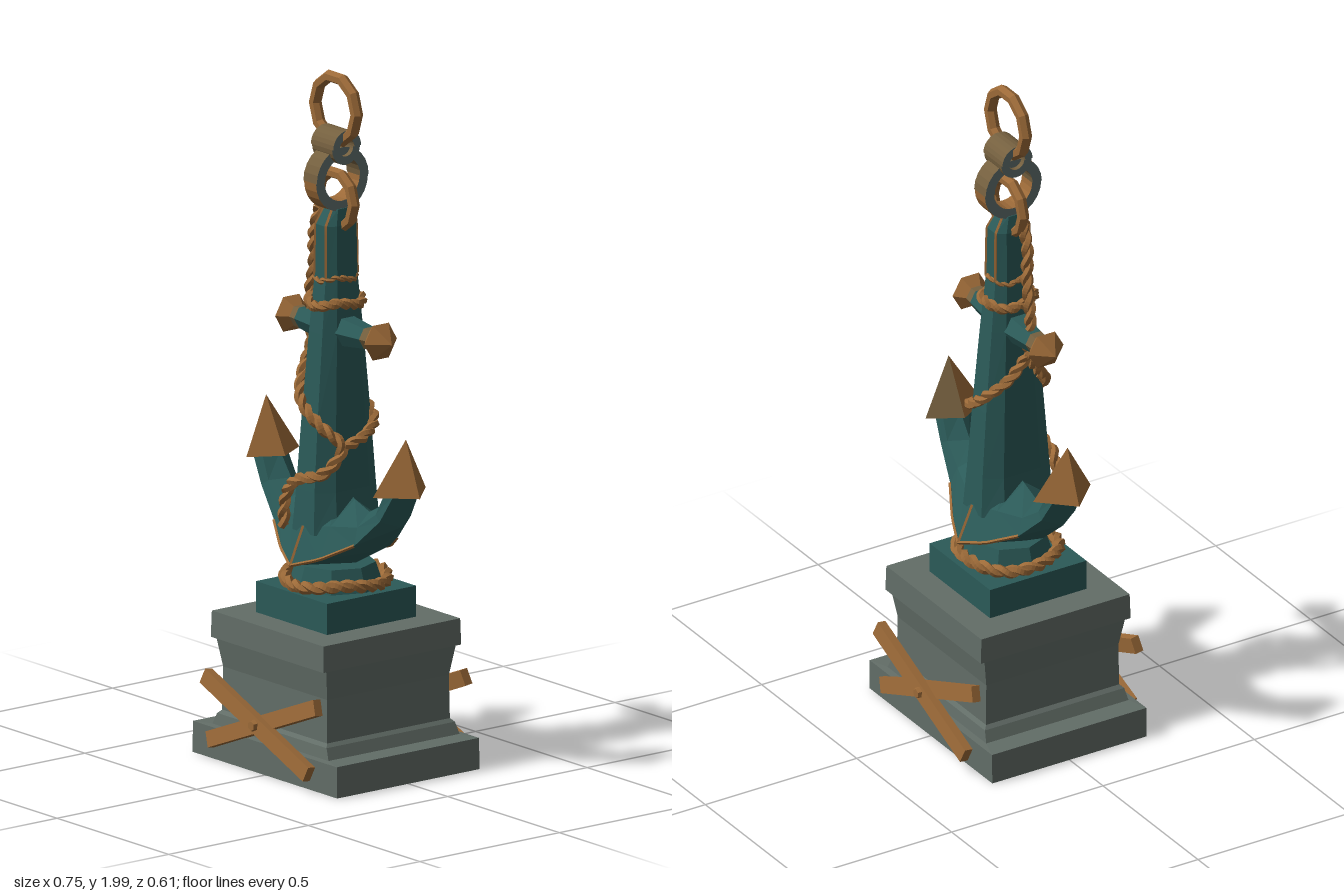
import * as THREE from 'three';

const mat = (name, color) => Object.assign(new THREE.MeshStandardMaterial({ color }), { name });
const V = (x, y, z) => new THREE.Vector3(x, y, z);

export function createModel() {
  const root = new THREE.Group();
  root.name = 'anchorMonument';
  const stone = mat('stone', 0x626d67);
  const teal = mat('tealPaint', 0x2b5a58);
  const rust = mat('rust', 0x9c6a38);
  const worn = mat('wornMetal', 0x75603f);
  const steel = mat('greySteel', 0x62716e);

  // Adds a faceted mesh
  function add(name, geo, material, parent = root) {
    const g = geo.index ? geo.toNonIndexed() : geo;
    g.computeVertexNormals();
    const m = new THREE.Mesh(g, material);
    m.name = name;
    parent.add(m);
    return m;
  }

  // Skins a list of equal-length rings and caps both ends
  function loft(rings) {
    const p = [];
    const tri = (...vs) => vs.forEach(v => p.push(v.x, v.y, v.z));
    const n = rings[0].length;
    for (let i = 0; i < rings.length - 1; i++) {
      for (let j = 0; j < n; j++) {
        const k = (j + 1) % n;
        const [a, b, c, d] = [rings[i][j], rings[i][k], rings[i + 1][k], rings[i + 1][j]];
        tri(a, d, b);
        tri(b, d, c);
      }
    }
    const first = rings[0], last = rings[rings.length - 1];
    for (let j = 1; j < n - 1; j++) {
      tri(first[0], first[j], first[j + 1]);
      tri(last[0], last[j + 1], last[j]);
    }
    const g = new THREE.BufferGeometry();
    g.setAttribute('position', new THREE.Float32BufferAttribute(p, 3));
    return g;
  }

  // Two strands twisted around a curve
  function rope(name, curve, radius, turns, closed = false) {
    const group = new THREE.Group();
    group.name = name;
    root.add(group);
    const n = Math.round(turns * 6);
    const f = curve.computeFrenetFrames(n, closed);
    for (const phase of [0, Math.PI]) {
      const pts = [];
      for (let i = 0; i < (closed ? n : n + 1); i++) {
        const a = phase + (i / n) * turns * Math.PI * 2;
        pts.push(curve.getPointAt(i / n)
          .addScaledVector(f.normals[i], Math.cos(a) * radius * 0.45)
          .addScaledVector(f.binormals[i], Math.sin(a) * radius * 0.45));
      }
      const path = new THREE.CatmullRomCurve3(pts, closed);
      add(name + 'Strand', new THREE.TubeGeometry(path, n * 2, radius * 0.68, 5, closed), rust, group);
    }
  }
  function loop(y, rx, rz) {
    const pts = [];
    for (let i = 0; i < 12; i++) {
      const a = i / 12 * Math.PI * 2;
      pts.push(V(Math.cos(a) * rx, y + 0.006 * Math.sin(a * 3), Math.sin(a) * rz));
    }
    return new THREE.CatmullRomCurve3(pts, true);
  }

  // Thin rusty line where paint has worn off an edge
  function wornEdge(...pts) {
    const path = new THREE.CurvePath();
    for (let i = 0; i < pts.length - 1; i++) path.add(new THREE.LineCurve3(pts[i], pts[i + 1]));
    add('wornEdge', new THREE.TubeGeometry(path, 4 * (pts.length - 1), 0.005, 4), rust);
  }

  // Stone pedestal: [height, half width, half depth]
  const pedestal = [
    [0, 0.324, 0.255], [0.09, 0.322, 0.255], [0.092, 0.26, 0.235], [0.125, 0.245, 0.23],
    [0.135, 0.235, 0.22], [0.26, 0.233, 0.218], [0.345, 0.246, 0.232], [0.347, 0.252, 0.247], [0.423, 0.25, 0.245],
  ];
  add('pedestal', loft(pedestal.map(([y, x, z]) => [V(x, y, z), V(-x, y, z), V(-x, y, -z), V(x, y, -z)])), stone);

  // Crossed planks, leaning on front and back
  for (const s of [1, -1]) {
    const cross = new THREE.Group();
    cross.name = s > 0 ? 'frontPlanks' : 'backPlanks';
    cross.rotation.y = s > 0 ? 0 : Math.PI;
    root.add(cross);
    [[0.38, 0.258], [-0.38, 0.282]].forEach(([angle, z], i) => {
      const plank = add('plank', new THREE.BoxGeometry(0.505, 0.046, 0.026), rust, cross);
      plank.rotation.set(-0.13, i ? 0.04 : -0.03, angle);
      plank.position.set(0, 0.15, z);
    });
    const nail = add('nail', new THREE.CylinderGeometry(0.014, 0.018, 0.012, 6), rust, cross);
    nail.rotation.x = Math.PI / 2;
    nail.position.set(0, 0.15, 0.299);
  }

  // Footing under the anchor
  add('footing', new THREE.BoxGeometry(0.318, 0.092, 0.318), teal).position.y = 0.467;
  add('footCollar', new THREE.CylinderGeometry(0.112, 0.135, 0.07, 8), teal).position.y = 0.545;
  rope('footRope', loop(0.535, 0.143, 0.143), 0.018, 11, true);

  // Crown and arms: bottom, ridge, flank and top of each section, mirrored
  const half = [
    [[0, 0.572], [0, 0.592, 0.165], [0, 0.7, 0.118], [0, 0.82]],
    [[0.09, 0.592], [0.085, 0.62, 0.13], [0.085, 0.71, 0.088], [0.085, 0.775]],
    [[0.185, 0.645], [0.18, 0.672, 0.078], [0.17, 0.72, 0.06], [0.15, 0.752]],
    [[0.29, 0.735], [0.265, 0.755, 0.056], [0.24, 0.77, 0.05], [0.2, 0.778]],
    [[0.346, 0.84], [0.32, 0.845, 0.046], [0.28, 0.85, 0.044], [0.25, 0.845]],
  ];
  const section = (s, [b, r, m, t]) => [
    V(s * b[0], b[1], 0), V(s * r[0], r[1], r[2]), V(s * m[0], m[1], m[2]),
    V(s * t[0], t[1], 0), V(s * m[0], m[1], -m[2]), V(s * r[0], r[1], -r[2]),
  ];
  add('crownAndArms', loft([
    ...half.slice(1).reverse().map(h => section(-1, h)),
    ...half.map(h => section(1, h)),
  ]), teal);

  // Shank: chamfered box sections [height, half width, half depth]
  const shank = [
    [0.68, 0.088, 0.118], [0.8, 0.075, 0.11], [1.0, 0.066, 0.095], [1.25, 0.055, 0.073],
    [1.4, 0.046, 0.058], [1.56, 0.042, 0.056], [1.605, 0.03, 0.03],
  ];
  add('shank', loft(shank.map(([y, x, z]) => {
    const c = 0.55;
    return [V(x, y, z * c), V(x * c, y, z), V(-x * c, y, z), V(-x, y, z * c),
      V(-x, y, -z * c), V(-x * c, y, -z), V(x * c, y, -z), V(x, y, -z * c)];
  })), teal);

  // Worn edges on the crown and neck
  for (const s of [1, -1]) {
    wornEdge(V(-0.18, 0.672, 0.078 * s), V(-0.085, 0.62, 0.13 * s), V(0, 0.592, 0.165 * s),
      V(0.085, 0.62, 0.13 * s), V(0.18, 0.672, 0.078 * s));
    wornEdge(V(0, 0.592, 0.165 * s), V(0, 0.7, 0.118 * s));
    for (const t of [1, -1]) wornEdge(V(0.025 * t, 1.41, 0.057 * s), V(0.023 * t, 1.56, 0.055 * s), V(0.017 * t, 1.603, 0.029 * s));
  }

  for (const s of [1, -1]) {
    // Four-sided fluke with its point leaning outward and its side corners inward
    const fluke = new THREE.ConeGeometry(1, 1, 4);
    fluke.scale(0.074, 0.16, 0.095);
    const p = fluke.attributes.position;
    for (let i = 0; i < p.count; i++) {
      if (p.getY(i) > 0) p.setX(i, p.getX(i) + s * 0.012);
      else if (Math.abs(p.getZ(i)) > 0.05) p.setX(i, -s * 0.018);
    }
    // One inner face on the left fluke is worn to bare metal
    fluke.clearGroups();
    fluke.addGroup(0, 6, 0);
    fluke.addGroup(6, 3, s > 0 ? 1 : 0);
    fluke.addGroup(9, 15, 0);
    add(s > 0 ? 'leftFluke' : 'rightFluke', fluke, [rust, worn]).position.set(s * 0.301, 0.915, 0);

    // Stock arm with worn end and pointed knob
    const stock = new THREE.Group();
    stock.name = s > 0 ? 'leftStock' : 'rightStock';
    stock.position.y = 1.255;
    stock.rotation.z = -s * Math.PI / 2;
    root.add(stock);
    add('stockArm', new THREE.CylinderGeometry(0.034, 0.052, 0.145, 6), teal, stock).position.y = 0.0725;
    add('stockEnd', new THREE.CylinderGeometry(0.03, 0.034, 0.04, 6), worn, stock).position.y = 0.165;
    const knob = [[0, 0.16], [0.03, 0.168], [0.058, 0.2], [0, 0.25]].map(q => new THREE.Vector2(...q));
    add('stockKnob', new THREE.LatheGeometry(knob, 6), rust, stock);
  }

  // Rope bindings on the upper shank
  rope('collarRope', loop(1.335, 0.066, 0.076), 0.015, 7, true);
  rope('neckBinding', loop(1.405, 0.049, 0.058), 0.009, 6, true);

  // Rope hanging from the ring, parting around the shank and meeting on the left side
  const side = V(-0.11, 1.2, 0);
  const wind = s => [V(-0.085, 1.12, 0.05 * s), V(-0.03, 1.05, 0.1 * s), V(0.055, 0.99, 0.092 * s)];
  rope('mainRope', new THREE.CatmullRomCurve3([
    V(-0.06, 1.6, 0.01), V(-0.085, 1.52, 0.01), V(-0.1, 1.42, 0), V(-0.118, 1.32, 0), side, ...wind(1),
    V(0.102, 0.935, 0.06), V(0.075, 0.865, 0.1), V(-0.03, 0.825, 0.122), V(-0.08, 0.77, 0.115), V(-0.09, 0.68, 0.118),
  ]), 0.017, 14);
  rope('backRope', new THREE.CatmullRomCurve3([side, ...wind(-1), V(0.096, 0.96, -0.03), V(0.102, 0.935, 0.05)]), 0.016, 6);

  // Half of a flat chain link lying across the rings, grey on its faces
  function halfLink(name, y, outer, inner, width, start, rim) {
    const shape = new THREE.Shape();
    shape.absarc(0, 0, outer, start, start + Math.PI, false);
    shape.absarc(0, 0, inner, start + Math.PI, start, true);
    const g = new THREE.ExtrudeGeometry(shape, { depth: width, bevelEnabled: false, curveSegments: 6 });
    g.translate(0, 0, -width / 2);
    const m = add(name, g, [steel, rim]);
    m.rotation.y = Math.PI / 2;
    m.position.y = y;
  }
  halfLink('linkTop', 1.69, 0.093, 0.063, 0.06, 0, worn);
  halfLink('linkBottom', 1.69, 0.093, 0.063, 0.054, Math.PI, rust);
  halfLink('claspTop', 1.785, 0.05, 0.026, 0.1, 0, worn);
  halfLink('claspBottom', 1.785, 0.05, 0.026, 0.09, Math.PI, worn);

  // Rings below and above the link
  add('lowerRing', new THREE.TorusGeometry(0.08, 0.017, 6, 10), rust).position.y = 1.625;
  add('topRing', new THREE.TorusGeometry(0.093, 0.018, 6, 10), rust).position.y = 1.889;

  return root;
}
